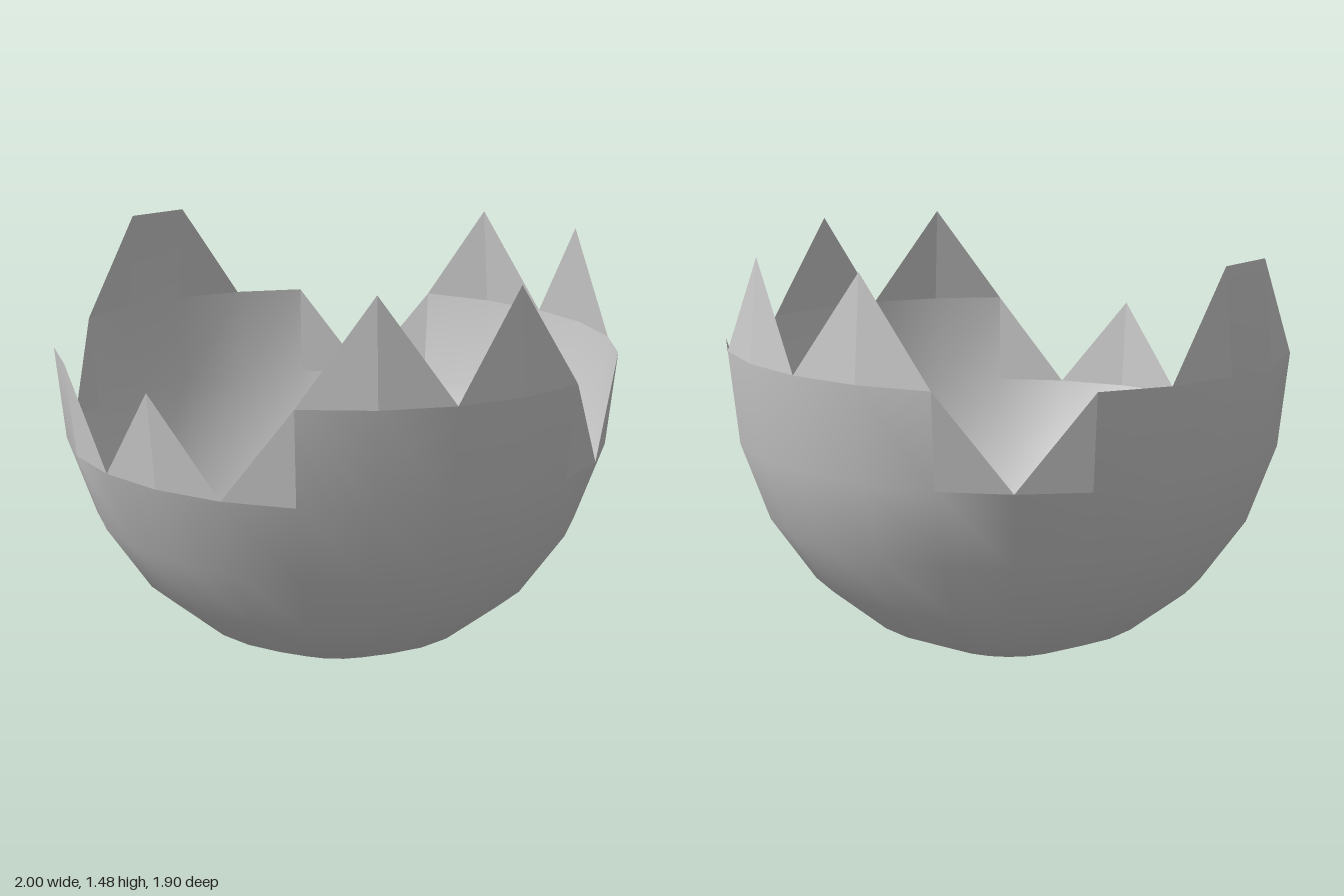
import * as THREE from 'three';

const SEGMENTS = 24;
const DEPTH = 0.95; // shell is slightly narrower front to back
// Height of each ring, from the bottom pole up, 15 degrees of latitude apart
const RING_Y = [0, 0.04, 0.14, 0.305, 0.53, 0.805, 1.13, 1.48];
// Ring reached by the broken rim at each longitude, from +x round through +z
const RIM = [6, 7, 6, 7, 6, 5, 6, 5, 6, 6, 5, 6, 7, 7, 6, 6, 5, 6, 7, 6, 7, 6, 6, 5];

function point(segment, ring) {
  const theta = (segment / SEGMENTS) * Math.PI * 2;
  const radius = Math.sin((ring * Math.PI) / 12);
  return [radius * Math.cos(theta), RING_Y[ring], radius * Math.sin(theta) * DEPTH];
}

function surface(positions, index) {
  const geometry = new THREE.BufferGeometry();
  geometry.setAttribute('position', new THREE.Float32BufferAttribute(positions, 3));
  if (index) geometry.setIndex(index);
  geometry.computeVertexNormals();
  return geometry;
}

export function createModel() {
  const group = new THREE.Group();
  group.name = 'brokenEggshell';
  const material = new THREE.MeshStandardMaterial({ color: 0xcccccc, side: THREE.DoubleSide });

  // Grid of shared points: pole first, then ring by ring
  const grid = [...point(0, 0)];
  for (let k = 1; k < RING_Y.length; k++)
    for (let i = 0; i < SEGMENTS; i++) grid.push(...point(i, k));
  const id = (i, k) => (k === 0 ? 0 : 1 + (k - 1) * SEGMENTS + (i % SEGMENTS));

  const bowlFaces = [];
  const shards = [];
  for (let i = 0; i < SEGMENTS; i++) {
    const left = RIM[i];
    const right = RIM[(i + 1) % SEGMENTS];
    const low = Math.min(left, right);

    // Whole cells of the smooth bowl
    for (let k = 0; k < low; k++) {
      bowlFaces.push(id(i, k), id(i, k + 1), id(i + 1, k + 1));
      if (k > 0) bowlFaces.push(id(i, k), id(i + 1, k + 1), id(i + 1, k));
    }
    // Half cell left standing where the rim steps up or down
    if (left !== right) {
      const apex = left > right ? point(i, left) : point(i + 1, right);
      shards.push(...point(i, low), ...apex, ...point(i + 1, low));
    }
  }

  const bowl = new THREE.Mesh(surface(grid, bowlFaces), material);
  bowl.name = 'shellBowl';
  const teeth = new THREE.Mesh(surface(shards), material);
  teeth.name = 'jaggedRim';
  group.add(bowl, teeth);
  return group;
}
